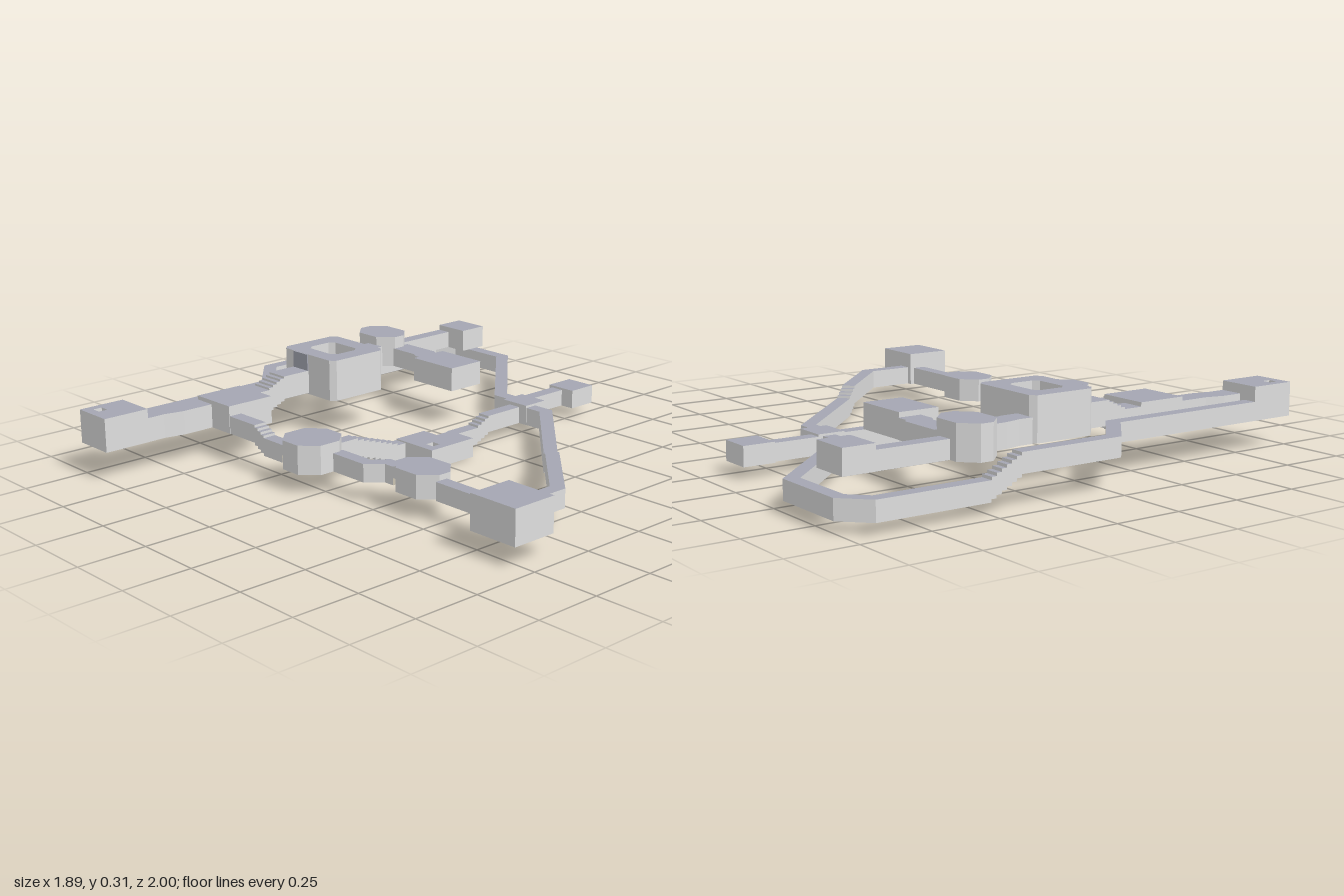
import * as THREE from 'three';

const mat = (name, color) => {
  const m = new THREE.MeshStandardMaterial({ color, side: THREE.DoubleSide });
  m.name = name;
  return m;
};

export function createModel() {
  const model = new THREE.Group();
  const ceilingGrey = mat('ceilingGrey', 0xa4a6b2);
  const wallGrey = mat('wallGrey', 0xdedede);
  const floorBrown = mat('floorBrown', 0xb4ae9f);
  const doorRed = mat('doorRed', 0xd9684a);

  const add = (parent, name, geometry, material) => {
    const mesh = new THREE.Mesh(geometry, material);
    mesh.name = name;
    parent.add(mesh);
    return mesh;
  };
  const group = (name) => {
    const g = new THREE.Group();
    g.name = name;
    model.add(g);
    return g;
  };

  // Flat-shaded geometry from a list of four-cornered faces
  const quads = (list) => {
    const p = [];
    for (const [a, b, c, d] of list) p.push(...a, ...b, ...c, ...a, ...c, ...d);
    const g = new THREE.BufferGeometry();
    g.setAttribute('position', new THREE.Float32BufferAttribute(p, 3));
    g.computeVertexNormals();
    return g;
  };

  // Rectangular outline with corners cut by c (in x and z)
  const outline = (x0, x1, z0, z1, c = 0) => (c === 0
    ? [[x0, z0], [x1, z0], [x1, z1], [x0, z1]]
    : [[x0 + c, z0], [x1 - c, z0], [x1, z0 + c], [x1, z1 - c],
      [x1 - c, z1], [x0 + c, z1], [x0, z1 - c], [x0, z0 + c]]);

  // Room: walls, ceiling and optional floor over an outline, with optional shaft
  const room = (name, points, y0, y1, hasFloor = true, shaft = null) => {
    const g = group(name);
    const loops = shaft ? [points, shaft] : [points];
    const walls = loops.flatMap((loop) => loop.map(([x, z], i) => {
      const [u, w] = loop[(i + 1) % loop.length];
      return [[x, y0, z], [x, y1, z], [u, y1, w], [u, y0, w]];
    }));
    add(g, 'walls', quads(walls), wallGrey);
    const shape = new THREE.Shape(points.map(([x, z]) => new THREE.Vector2(x, z)));
    if (shaft) shape.holes.push(new THREE.Path(shaft.map(([x, z]) => new THREE.Vector2(x, z))));
    const slab = (y) => new THREE.ShapeGeometry(shape).rotateX(Math.PI / 2).translate(0, y, 0);
    add(g, 'ceiling', slab(y1), ceilingGrey);
    if (hasFloor) add(g, 'floor', slab(y0), floorBrown);
  };

  // Corridor along [x, z, floorY] points; a change of floorY becomes a flight of steps
  const corridor = (name, path, width, height, hasFloor = true, steps = 5) => {
    const g = group(name);
    const dir = (a, b) => new THREE.Vector2(b[0] - a[0], b[1] - a[1]).normalize();
    const sections = path.map((p, i) => {
      const d0 = dir(path[Math.max(i - 1, 0)], path[Math.max(i, 1)]);
      const last = path.length - 1;
      const d1 = dir(path[Math.min(i, last - 1)], path[Math.min(i + 1, last)]);
      const n = new THREE.Vector2(-d0.y - d1.y, d0.x + d1.x).normalize();
      const r = width / 2 / (n.x * -d1.y + n.y * d1.x);
      return [p[0] + n.x * r, p[1] + n.y * r, p[0] - n.x * r, p[1] - n.y * r, p[2]];
    });
    const rows = [sections[0]];
    for (let i = 1; i < sections.length; i++) {
      const a = sections[i - 1], b = sections[i];
      if (a[4] !== b[4]) {
        for (let k = 1; k <= steps; k++) {
          const at = a.map((v, j) => v + (b[j] - v) * k / steps);
          const before = a[4] + (b[4] - a[4]) * (k - 1) / steps;
          rows.push([...at.slice(0, 4), before], at);
        }
      } else rows.push(b);
    }
    const walls = [], top = [], base = [];
    for (let i = 1; i < rows.length; i++) {
      const a = rows[i - 1], b = rows[i];
      const pt = (r, s, h) => [r[s], r[4] + h, r[s + 1]];
      const strip = (h) => [pt(a, 0, h), pt(b, 0, h), pt(b, 2, h), pt(a, 2, h)];
      if (a[0] === b[0] && a[1] === b[1]) {
        // Step risers match the walls
        walls.push(strip(height));
        if (hasFloor) walls.push(strip(0));
        continue;
      }
      top.push(strip(height));
      base.push(strip(0));
      for (const s of [0, 2]) {
        walls.push([pt(a, s, 0), pt(a, s, height), pt(b, s, height), pt(b, s, 0)]);
      }
    }
    add(g, 'walls', quads(walls), wallGrey);
    add(g, 'ceiling', quads(top), ceilingGrey);
    if (hasFloor) add(g, 'floor', quads(base), floorBrown);
  };

  // Rooms
  room('eastRoom', outline(0.747, 0.944, 0.355, 0.53), 0.073, 0.2);
  room('eastOctagon', outline(0.267, 0.478, 0.3, 0.46, 0.055), 0.073, 0.16, false);
  room('southOctagon', outline(-0.18, 0.017, 0.39, 0.59, 0.057), 0.073, 0.18);
  room('southWestRoom', outline(-0.68, -0.485, 0.355, 0.55), 0.11, 0.215);
  room('southShaftRoom', outline(-0.77, -0.608, 0.82, 1), 0.11, 0.235, false,
    outline(-0.737, -0.7, 0.93, 0.965));
  room('courtyardRoom', outline(-0.75, -0.447, -0.18, 0.085, 0.02), 0.145, 0.305, false,
    outline(-0.68, -0.52, -0.11, 0.018, 0.02));
  room('westOctagon', outline(-0.877, -0.663, -0.536, -0.378, 0.055), 0.147, 0.27, false);
  room('innerRoom', outline(-0.45, -0.233, -0.5, -0.342), 0.147, 0.24, false);
  room('northWestRoom', outline(-0.79, -0.643, -0.928, -0.808), 0.147, 0.235, false);
  room('northRoom', outline(-0.107, 0.017, -0.893, -0.773), 0.042, 0.115, false);
  room('junction', outline(-0.09, 0.032, -0.593, -0.488), 0.037, 0.115);
  room('lowShaftRoom', [[-0.035, -0.143], [0.086, -0.143], [0.086, 0.068],
    [-0.105, 0.068], [-0.105, -0.072], [-0.035, -0.072]], 0, 0.073, false,
  outline(0.018, 0.053, -0.003, 0.032));

  // Southern corridors
  corridor('eastCorridor', [[0.478, 0.397, 0.073], [0.747, 0.397, 0.073]], 0.05, 0.067);
  corridor('bentCorridor', [[0.267, 0.397, 0.073], [0.215, 0.397, 0.073],
    [0.165, 0.452, 0.073], [0.01, 0.452, 0.073]], 0.05, 0.067);
  corridor('southStairs', [[-0.485, 0.522, 0.11], [-0.355, 0.522, 0.11],
    [-0.285, 0.522, 0.073], [-0.18, 0.522, 0.073]], 0.052, 0.067, true, 4);
  corridor('shaftRoomCorridor', [[-0.637, 0.55, 0.11], [-0.637, 0.67, 0.11],
    [-0.653, 0.745, 0.11], [-0.653, 0.82, 0.11]], 0.088, 0.09, false);

  // Western corridors
  corridor('courtyardStairs', [[-0.637, 0.085, 0.15], [-0.637, 0.19, 0.15],
    [-0.637, 0.28, 0.11], [-0.637, 0.355, 0.11]], 0.088, 0.09);
  corridor('courtyardCorridor', [[-0.727, -0.38, 0.147], [-0.723, -0.3, 0.147],
    [-0.71, -0.24, 0.147], [-0.71, -0.18, 0.147]], 0.082, 0.088, false);
  corridor('innerCorridor', [[-0.68, -0.473, 0.147], [-0.53, -0.473, 0.147],
    [-0.505, -0.458, 0.147], [-0.45, -0.458, 0.147]], 0.09, 0.075, false);
  corridor('northWestCorridor', [[-0.761, -0.808, 0.147], [-0.761, -0.536, 0.147]],
    0.055, 0.067, false);

  // Central corridors
  corridor('northCorridor', [[-0.065, -0.773, 0.042], [-0.065, -0.593, 0.042]], 0.052, 0.065);
  corridor('northLowStairs', [[-0.03, -0.488, 0.037], [-0.03, -0.335, 0.037],
    [-0.03, -0.26, 0.002], [-0.03, -0.143, 0.002]], 0.05, 0.065, true, 4);
  corridor('southLowStairs', [[-0.08, 0.068, 0.002], [-0.08, 0.08, 0.002],
    [-0.08, 0.3, 0.073], [-0.08, 0.395, 0.073]], 0.05, 0.066, true, 8);

  // Outer passages round the edge
  corridor('eastPassage', [[0.03, -0.515, 0.037], [0.11, -0.515, 0.037], [0.465, -0.155, 0.037],
    [0.535, -0.084, 0.073], [0.793, 0.172, 0.073], [0.793, 0.355, 0.073]], 0.05, 0.069, true, 4);
  corridor('northPassage', [[-0.09, -0.55, 0.037], [-0.165, -0.55, 0.037], [-0.57, -0.975, 0.037],
    [-0.845, -0.975, 0.037], [-0.92, -0.9, 0.037], [-0.92, -0.51, 0.037],
    [-0.92, -0.375, 0.11]], 0.05, 0.07, true, 7);
  corridor('westPassage', [[-0.92, -0.375, 0.11], [-0.92, 0.02, 0.11],
    [-0.745, 0.17, 0.11], [-0.745, 0.82, 0.11]], 0.05, 0.07, false);

  // Lintel over the courtyard stairs, and the door in the courtyard corridor
  add(model, 'lintel', new THREE.BoxGeometry(0.085, 0.065, 0.006), ceilingGrey)
    .position.set(-0.637, 0.272, 0.087);
  add(model, 'door', new THREE.BoxGeometry(0.075, 0.08, 0.008), doorRed)
    .position.set(-0.71, 0.192, -0.235);
  return model;
}
